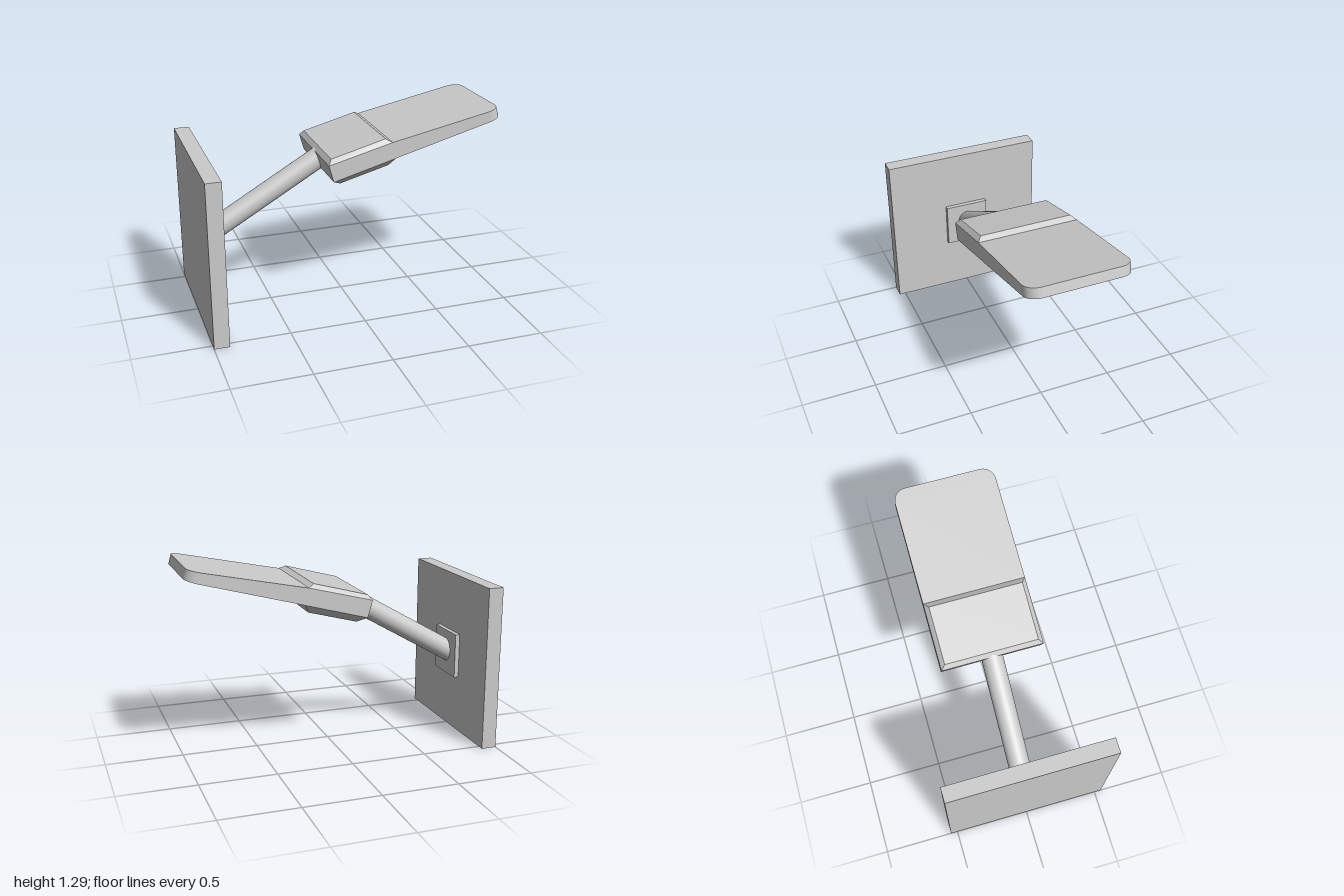
import * as THREE from 'three';
import { ConvexGeometry } from 'three/addons/geometries/ConvexGeometry.js';

const MID_Z = -0.013; // centre line of the lamp
const HALF = 0.333;   // half width of the lamp head

export function createModel() {
  const group = new THREE.Group();
  const material = new THREE.MeshStandardMaterial({ color: 0xcccccc });

  const add = (name, geometry, x = 0, y = 0, z = 0) => {
    const mesh = new THREE.Mesh(geometry, material);
    mesh.name = name;
    mesh.position.set(x, y, z);
    group.add(mesh);
    return mesh;
  };

  // Solid between two edges of the side profile, each with its own half width
  const wedge = (name, edgeA, halfA, edgeB, halfB) => {
    const points = [];
    for (const [edge, half] of [[edgeA, halfA], [edgeB, halfB]])
      for (const [x, y] of edge)
        for (const side of [-1, 1]) points.push(new THREE.Vector3(x, y, side * half));
    add(name, new ConvexGeometry(points), 0, 0, MID_Z);
  };

  // Wall and mounting plate
  add('wall', new THREE.BoxGeometry(0.1, 1.09, 1.09), -0.95, 0.545, 0);
  add('mountingPlate', new THREE.BoxGeometry(0.035, 0.304, 0.304), -0.8875, 0.537, -0.009);

  // Slanted round arm, its ends buried in the plate and the head
  const start = new THREE.Vector3(-0.93, 0.515, -0.011);
  const end = new THREE.Vector3(-0.13, 0.983, -0.011);
  const along = end.clone().sub(start);
  const arm = add('arm', new THREE.CylinderGeometry(0.07, 0.07, along.length(), 40));
  arm.position.copy(start).lerp(end, 0.5);
  arm.quaternion.setFromUnitVectors(new THREE.Vector3(0, 1, 0), along.normalize());

  // Head housing: slab with a bevelled cover above and below
  const topEdge = [[-0.184, 1.025], [0.238, 1.134]];
  const bottomEdge = [[-0.152, 0.914], [0.262, 1.026]];
  wedge('housing', topEdge, HALF, bottomEdge, HALF);
  wedge('topCover', topEdge, HALF, [[-0.16, 1.058], [0.2, 1.154]], 0.304);
  wedge('bottomCover', bottomEdge, HALF, [[-0.094, 0.881], [0.228, 0.967]], 0.282);

  // Tapered panel: plan outline with round outer corners, laid between two slopes
  const r = 0.085, length = 0.74;
  const plan = new THREE.Shape();
  plan.moveTo(0, -HALF);
  plan.lineTo(length - r, -HALF);
  plan.absarc(length - r, -HALF + r, r, -Math.PI / 2, 0);
  plan.absarc(length - r, HALF - r, r, 0, Math.PI / 2);
  plan.lineTo(0, HALF);
  plan.closePath();
  const panel = new THREE.ExtrudeGeometry(plan, { depth: 1, bevelEnabled: false, curveSegments: 10 });
  panel.rotateX(-Math.PI / 2);
  const topTip = [0.98, 1.288], bottomTip = [0.998, 1.225];
  const { lerp } = THREE.MathUtils;
  const pos = panel.attributes.position;
  for (let i = 0; i < pos.count; i++) {
    const s = pos.getX(i) / length, v = pos.getY(i);
    const at = (k) => lerp(lerp(bottomEdge[1][k], bottomTip[k], s), lerp(topEdge[1][k], topTip[k], s), v);
    pos.setXYZ(i, at(0), at(1), pos.getZ(i));
  }
  panel.computeVertexNormals();
  add('panel', panel, 0, 0, MID_Z);

  return group;
}
